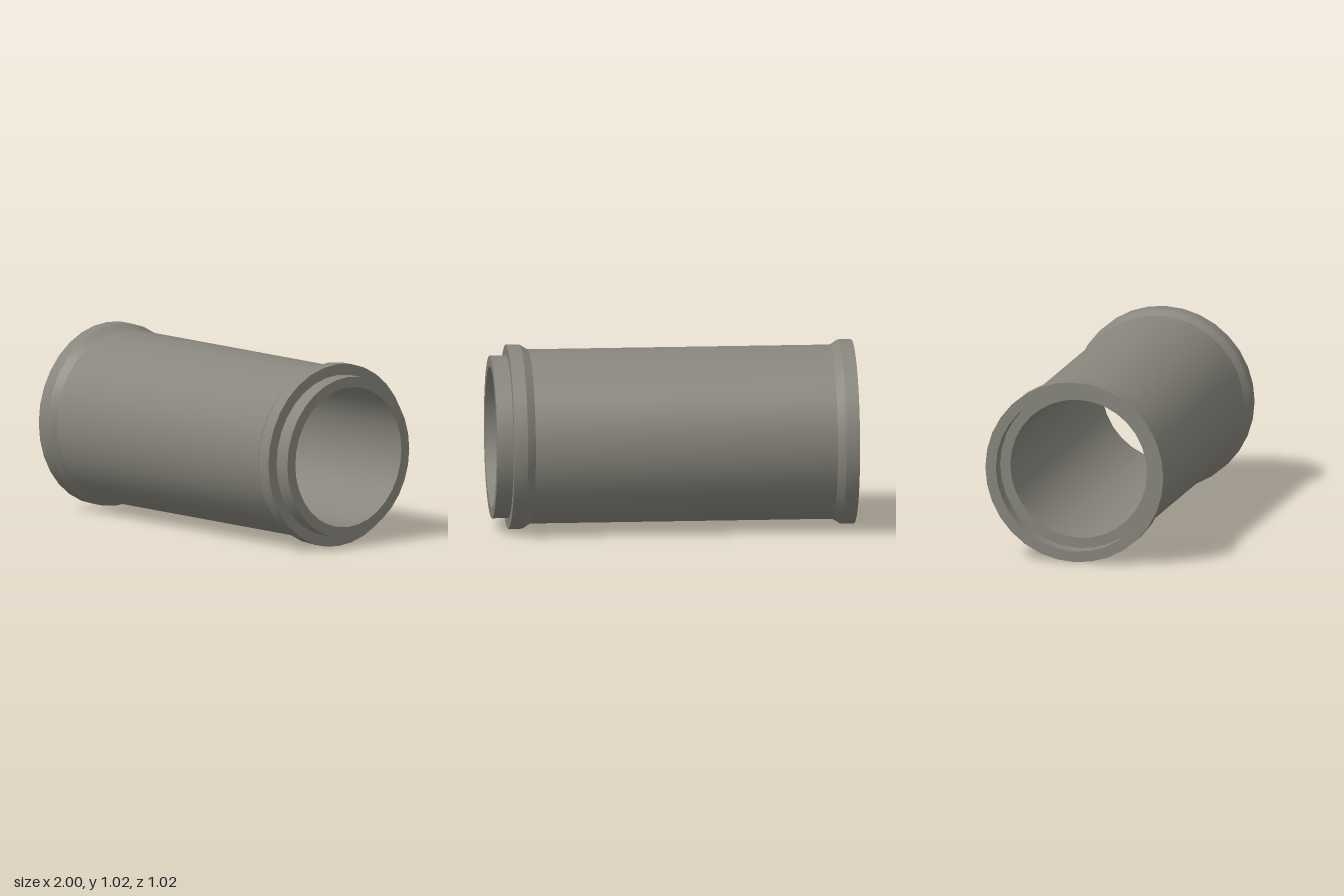
import * as THREE from 'three';
import { toCreasedNormals } from 'three/addons/utils/BufferGeometryUtils.js';

const SIDES = 32;
const FLANGE = 0.508, BODY = 0.48, SPIGOT = 0.448, BORE = 0.39;

export function createModel() {
  const pipe = new THREE.Group();
  pipe.name = 'pipeSection';

  const concrete = new THREE.MeshStandardMaterial({ color: 0x87857c });
  concrete.name = 'concrete grey';

  // Revolve [x, radius] points about the pipe axis; outer faces run toward +x, inner ones toward -x
  function addRing(name, profile) {
    const points = profile.map(([x, r]) => new THREE.Vector2(r, x));
    const lathe = new THREE.LatheGeometry(points, SIDES).rotateZ(-Math.PI / 2);
    const mesh = new THREE.Mesh(toCreasedNormals(lathe, 0.4), concrete);
    mesh.name = name;
    mesh.position.y = FLANGE;
    pipe.add(mesh);
  }

  // Socket end: recess, rim and chamfered collar
  addRing('socketCollar', [
    [-0.91, BORE], [-0.91, SPIGOT], [-1, SPIGOT], [-1, FLANGE], [-0.925, FLANGE], [-0.88, BODY],
  ]);

  // Straight outer wall
  addRing('barrel', [[-0.88, BODY], [0.79, BODY]]);

  // Chamfered collar behind the spigot
  addRing('spigotCollar', [[0.79, BODY], [0.835, FLANGE], [0.91, FLANGE], [0.91, SPIGOT]]);

  // Narrow spigot that plugs into the next socket
  addRing('spigot', [[0.91, SPIGOT], [1, SPIGOT], [1, BORE]]);

  // Inner wall
  addRing('bore', [[1, BORE], [-0.91, BORE]]);

  return pipe;
}
